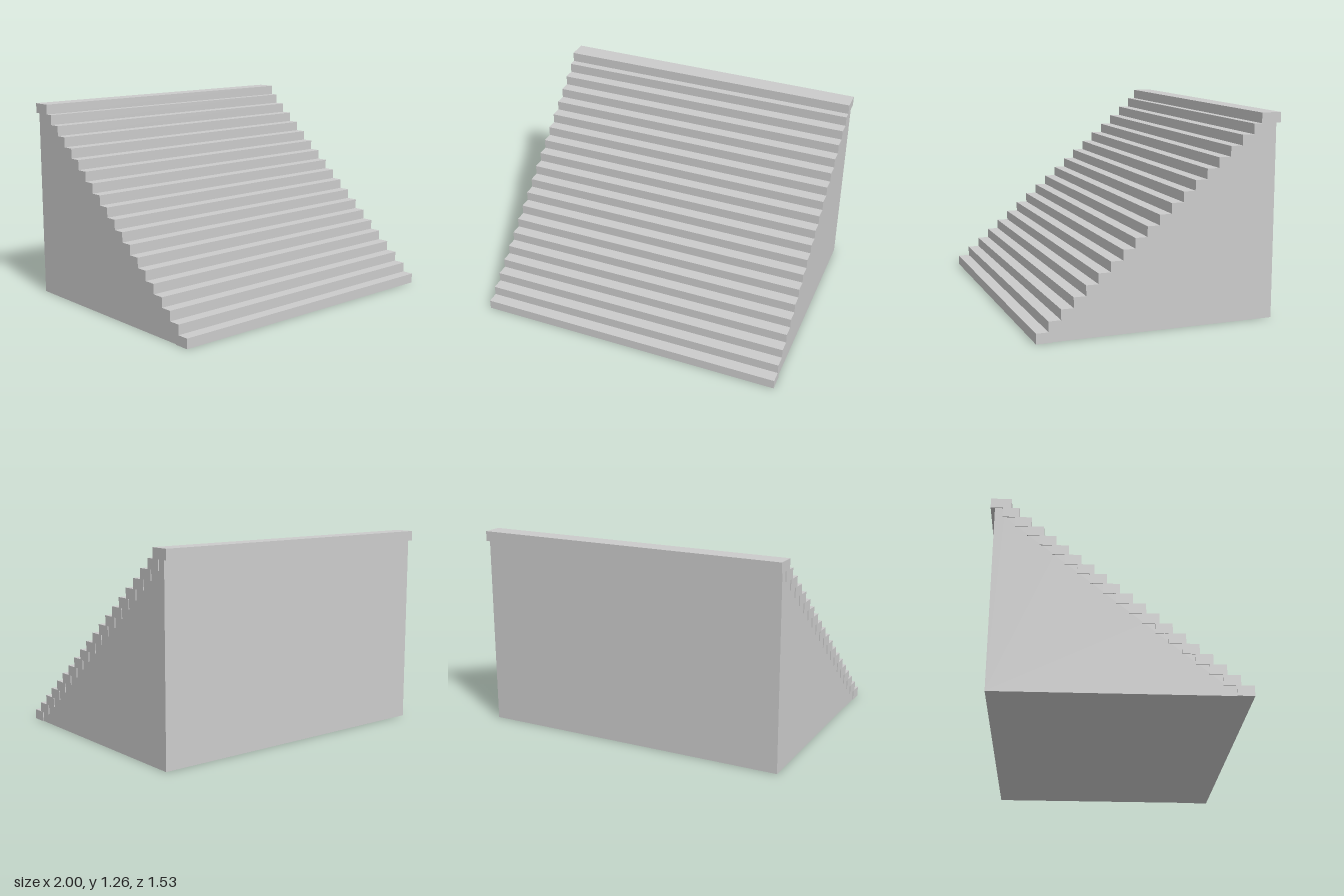
import * as THREE from 'three';

export function createModel() {
  const group = new THREE.Group();
  const material = new THREE.MeshStandardMaterial({ color: 0xcccccc, flatShading: true });

  const steps = 19, rise = 0.063, run = 0.0751, depth = 0.1;
  const frontZ = 0.763, backZ = -0.737, bodyWidth = 1.988;

  // A full-width slab between two z positions, one rise thick
  const addSlab = (name, zFront, zBack, bottom) => {
    const mesh = new THREE.Mesh(new THREE.BoxGeometry(2, rise, zFront - zBack), material);
    mesh.position.set(0, bottom + rise / 2, (zFront + zBack) / 2);
    mesh.name = name;
    group.add(mesh);
  };

  // Treads overlap the one below and stand slightly proud of the body's sides
  for (let i = 0; i < steps; i++) {
    const z = frontZ - i * run;
    addSlab(`tread${i + 1}`, z, z - depth, i * rise);
  }

  // Top landing, overhanging the back wall
  addSlab('landing', -0.638, -0.763, steps * rise);

  // Solid stepped body carrying the treads
  const profile = new THREE.Shape();
  profile.moveTo(backZ, 0);
  for (let i = 0; i < steps; i++) {
    const z = frontZ - i * run - 0.085;
    profile.lineTo(z, i * rise);
    profile.lineTo(z, (i + 1) * rise);
  }
  profile.lineTo(backZ, steps * rise);
  profile.closePath();
  const bodyGeometry = new THREE.ExtrudeGeometry(profile, { depth: bodyWidth, bevelEnabled: false });
  bodyGeometry.translate(0, 0, -bodyWidth / 2).rotateY(-Math.PI / 2);
  const body = new THREE.Mesh(bodyGeometry, material);
  body.name = 'body';
  group.add(body);

  return group;
}
